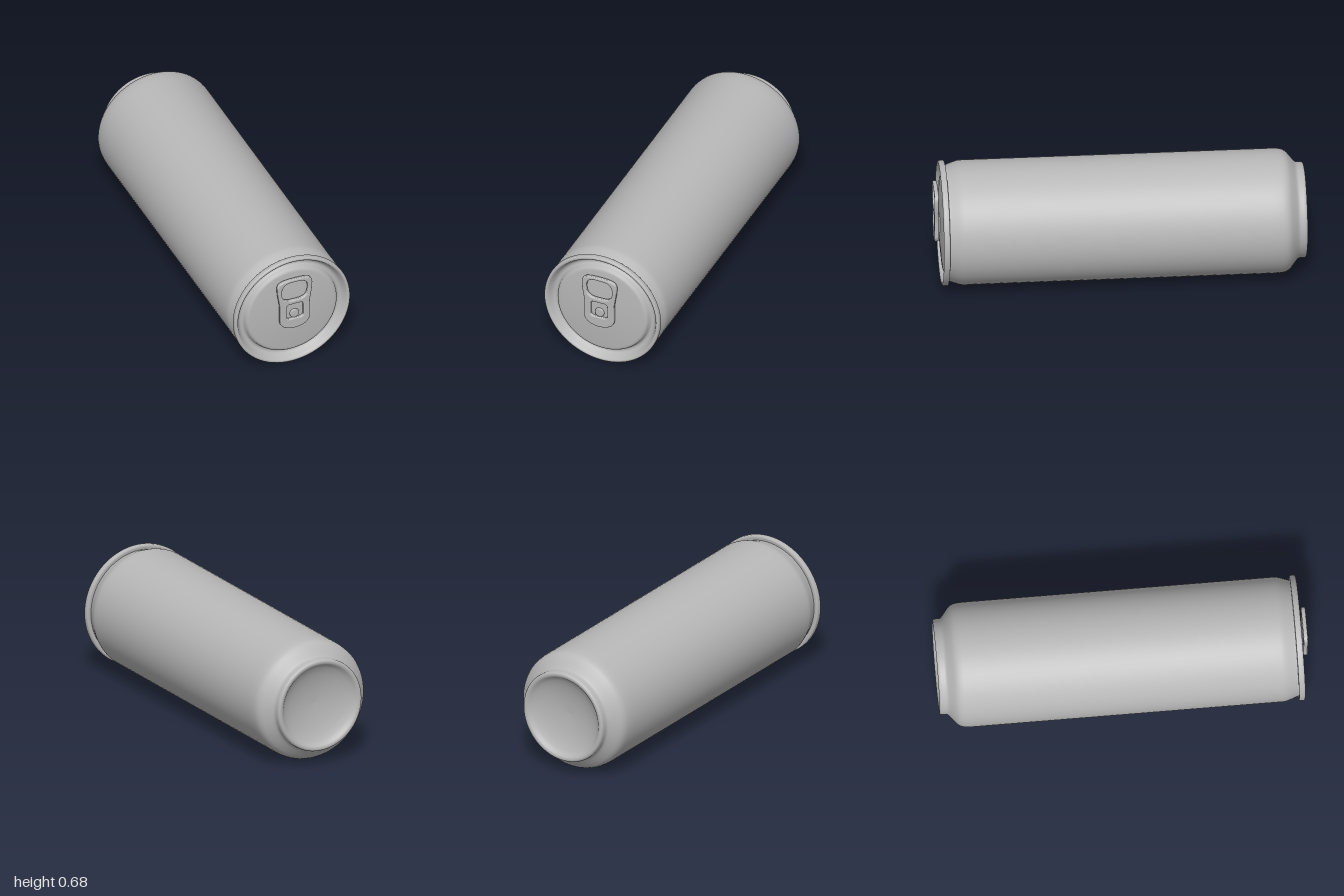
import * as THREE from 'three';

const AXIS_Y = 0.339; // height of the can's centre line

// Spin a [radius, z] profile around the z axis
function spin(profile, material, name, segments = 72) {
  const geometry = new THREE.LatheGeometry(profile.map(([r, z]) => new THREE.Vector2(r, z)), segments);
  geometry.rotateX(Math.PI / 2);
  const mesh = new THREE.Mesh(geometry, material);
  mesh.name = name;
  return mesh;
}

// Rounded rectangle path, centred on (0, cy)
function roundedRect(path, w, h, r, cy) {
  const x = w / 2, b = cy - h / 2, t = cy + h / 2;
  path.moveTo(-x + r, b);
  path.lineTo(x - r, b);
  path.quadraticCurveTo(x, b, x, b + r);
  path.lineTo(x, t - r);
  path.quadraticCurveTo(x, t, x - r, t);
  path.lineTo(-x + r, t);
  path.quadraticCurveTo(-x, t, -x, t - r);
  path.lineTo(-x, b + r);
  path.quadraticCurveTo(-x, b, -x + r, b);
  return path;
}

// Pull tab outline, relative to the can's axis
function tabShape() {
  const s = new THREE.Shape();
  s.moveTo(0, -0.092);
  s.bezierCurveTo(0.05, -0.092, 0.087, -0.068, 0.087, -0.035);
  s.lineTo(0.087, 0.055);
  s.bezierCurveTo(0.089, 0.1, 0.102, 0.13, 0.102, 0.185);
  s.bezierCurveTo(0.102, 0.222, 0.075, 0.23, 0, 0.23);
  s.bezierCurveTo(-0.075, 0.23, -0.102, 0.222, -0.102, 0.185);
  s.bezierCurveTo(-0.102, 0.13, -0.089, 0.1, -0.087, 0.055);
  s.lineTo(-0.087, -0.035);
  s.bezierCurveTo(-0.087, -0.068, -0.05, -0.092, 0, -0.092);
  return s;
}

export function createModel() {
  const metal = new THREE.MeshStandardMaterial({ color: 0xb8b8b8 });
  metal.name = 'grey metal';

  const can = new THREE.Group();
  can.name = 'can';
  can.position.y = AXIS_Y;

  // Domed base, foot ring, wall and neck
  can.add(spin([
    [0, -0.935], [0.06, -0.938], [0.12, -0.947], [0.17, -0.96], [0.205, -0.974], [0.222, -0.986],
    [0.23, -0.995], [0.238, -0.999], [0.247, -1], [0.254, -0.997], [0.258, -0.99],
    [0.259, -0.98], [0.259, -0.962], [0.263, -0.953], [0.272, -0.945], [0.292, -0.929],
    [0.311, -0.914], [0.323, -0.901], [0.331, -0.885], [0.335, -0.865], [0.337, -0.83],
    [0.337, -0.8], [0.337, 0.82], [0.337, 0.85], [0.335, 0.865], [0.33, 0.882],
    [0.321, 0.908], [0.314, 0.926], [0.313, 0.935], [0.313, 0.945],
  ], metal, 'body'));

  // Rolled rim, sunken channel and slightly domed panel
  can.add(spin([
    [0.313, 0.934], [0.326, 0.931], [0.335, 0.932], [0.339, 0.937], [0.339, 0.955],
    [0.337, 0.962], [0.331, 0.966], [0.324, 0.965], [0.319, 0.96], [0.314, 0.95],
    [0.305, 0.932], [0.298, 0.923], [0.29, 0.919], [0.281, 0.919], [0.275, 0.923],
    [0.27, 0.934], [0.266, 0.946], [0.26, 0.953], [0.252, 0.956], [0.242, 0.957],
    [0.2, 0.961], [0.13, 0.966], [0.06, 0.969], [0, 0.97],
  ], metal, 'lid'));

  const tab = new THREE.Group();
  tab.name = 'pullTab';
  can.add(tab);

  // Tab plate with a finger hole and a rivet window
  const shape = tabShape();
  shape.holes.push(
    roundedRect(new THREE.Path(), 0.152, 0.118, 0.056, 0.152),
    roundedRect(new THREE.Path(), 0.096, 0.094, 0.018, 0.02),
  );
  const plate = new THREE.Mesh(new THREE.ExtrudeGeometry(shape, {
    depth: 0.01, bevelThickness: 0.007, bevelSize: 0.008, bevelOffset: -0.008,
    bevelSegments: 4, curveSegments: 14,
  }), metal);
  plate.name = 'tabPlate';
  plate.position.z = 0.983;
  tab.add(plate);

  // Sunken tongue that fills the rivet window
  const tongue = new THREE.Mesh(new THREE.ExtrudeGeometry(
    roundedRect(new THREE.Shape(), 0.11, 0.108, 0.02, 0.02),
    { depth: 0.016, bevelEnabled: false, curveSegments: 8 },
  ), metal);
  tongue.name = 'tabTongue';
  tongue.position.z = 0.969;
  tab.add(tongue);

  // Rivet holding the tab
  tab.add(spin([
    [0.027, 0.965], [0.027, 0.988], [0.026, 0.992], [0.022, 0.994], [0, 0.994],
  ], metal, 'rivet', 32));

  return can;
}
